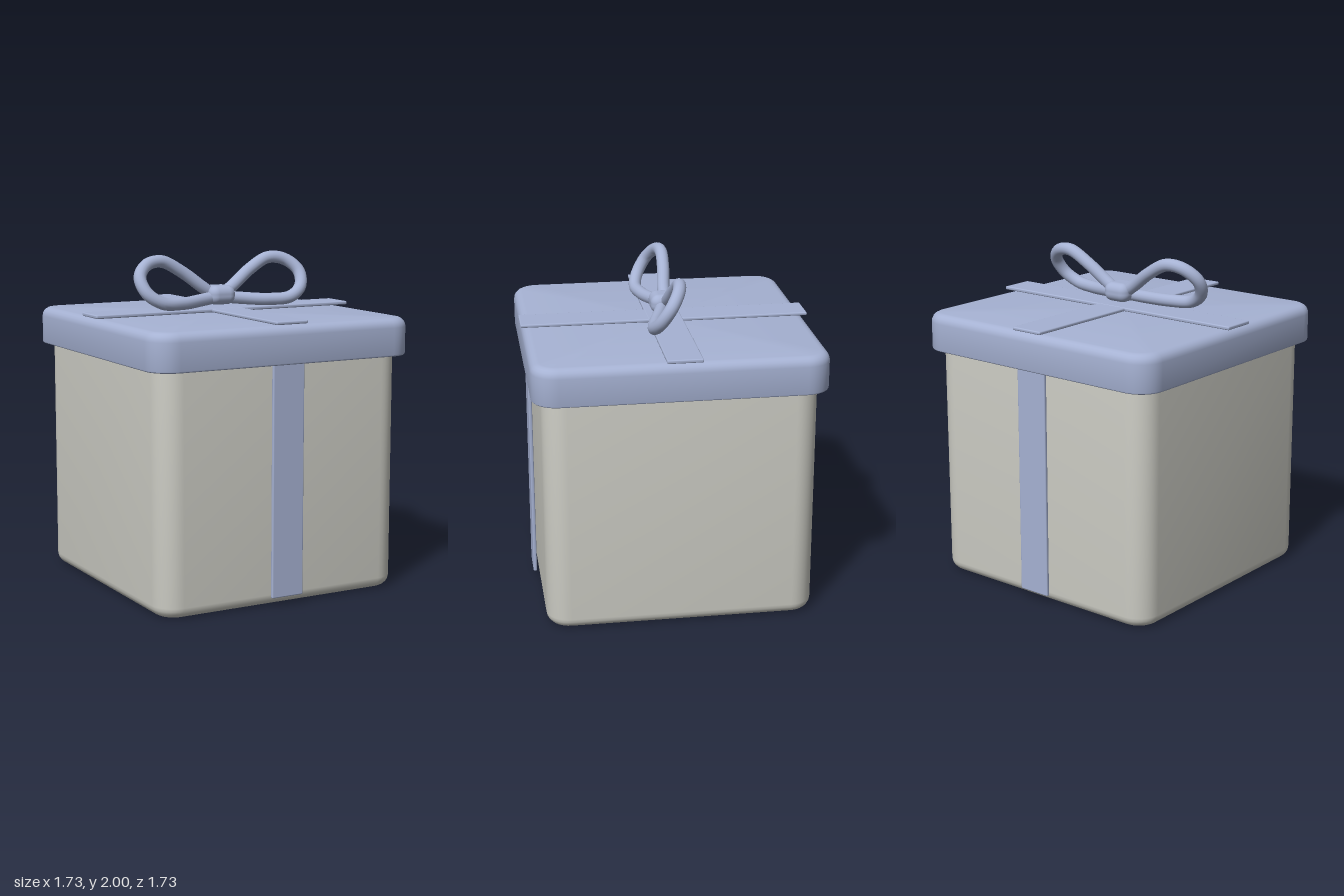
import * as THREE from 'three';
import { toCreasedNormals } from 'three/addons/utils/BufferGeometryUtils.js';
import { RoundedBoxGeometry } from 'three/addons/geometries/RoundedBoxGeometry.js';

// Square solid with rounded corners; profile is [inset, y] from bottom centre outwards and up to top centre.
function squareLathe(half, radius, profile, cornerSteps = 8) {
  const pos = [], index = [], n = 4 * (cornerSteps + 1);
  for (const [inset, y] of profile) {
    const h = half - inset, r = Math.max(0, Math.min(radius - inset, h));
    for (let c = 0; c < 4; c++) {
      const mid = Math.PI / 4 + c * Math.PI / 2;
      const cx = Math.sign(Math.cos(mid)) * (h - r), cz = Math.sign(Math.sin(mid)) * (h - r);
      for (let s = 0; s <= cornerSteps; s++) {
        const a = c * Math.PI / 2 + s / cornerSteps * Math.PI / 2;
        pos.push(cx + r * Math.cos(a), y, -cz - r * Math.sin(a));
      }
    }
  }
  for (let i = 0; i < profile.length - 1; i++) {
    for (let j = 0; j < n; j++) {
      const a = i * n + j, b = i * n + (j + 1) % n;
      index.push(a, b, b + n, a, b + n, a + n);
    }
  }
  const g = new THREE.BufferGeometry();
  g.setAttribute('position', new THREE.Float32BufferAttribute(pos, 3));
  g.setIndex(index);
  return toCreasedNormals(g, 0.5);
}

// Quarter-round profile points between a wall and a flat face.
function roundEdge(y, r, top, steps = 5) {
  const pts = [];
  for (let i = 0; i <= steps; i++) {
    const a = (top ? i : steps - i) / steps * Math.PI / 2;
    pts.push([r * (1 - Math.cos(a)), y + (top ? -1 : 1) * r * (1 - Math.sin(a))]);
  }
  return pts;
}

export function createModel() {
  const group = new THREE.Group();
  const paper = new THREE.MeshStandardMaterial({ color: 0xd0d0c8 });
  paper.name = 'warm grey card';
  const blue = new THREE.MeshStandardMaterial({ color: 0xa6b2d3 });
  blue.name = 'soft blue';

  const add = (name, geometry, material, x = 0, y = 0, z = 0) => {
    const mesh = new THREE.Mesh(geometry, material);
    mesh.name = name;
    mesh.position.set(x, y, z);
    group.add(mesh);
    return mesh;
  };

  // Box body
  add('boxBody', squareLathe(0.8, 0.14,
    [[0.8, 0], ...roundEdge(0, 0.065, false), [0, 1.58], [0.8, 1.58]]), paper);

  // Hollow lid with a thin rim
  add('lid', squareLathe(0.857, 0.15,
    [[0.857, 1.61], [0.028, 1.61], [0.028, 1.425], [0.022, 1.42],
      ...roundEdge(1.42, 0.012, false, 3), ...roundEdge(1.645, 0.055, true), [0.857, 1.645]]), blue);

  // Ribbons crossing on the lid
  add('ribbonAcross', new RoundedBoxGeometry(1.734, 0.022, 0.208, 2, 0.008), blue, 0, 1.664, 0);
  add('ribbonLengthwise', new RoundedBoxGeometry(0.208, 0.02, 1.734, 2, 0.008), blue, 0, 1.663, 0);

  // Upright ribbons on front and back
  for (const side of [1, -1]) {
    add(side > 0 ? 'frontRibbon' : 'backRibbon',
      new RoundedBoxGeometry(0.208, 1.45, 0.022, 2, 0.008), blue, 0, 0.775, side * 0.824);
  }

  // Bow loops leaning back
  const loop = [
    [0.03, 1.745, -0.015], [0.11, 1.8, -0.018], [0.24, 1.895, -0.036], [0.37, 1.96, -0.04],
    [0.48, 1.945, -0.02], [0.55, 1.875, 0.03], [0.53, 1.785, 0.085], [0.44, 1.725, 0.113],
    [0.3, 1.714, 0.09], [0.14, 1.724, 0.04], [0.03, 1.735, 0.01],
  ];
  for (const side of [1, -1]) {
    const curve = new THREE.CatmullRomCurve3(loop.map(([x, y, z]) => new THREE.Vector3(side * x, y, z)));
    add(side > 0 ? 'leftBowLoop' : 'rightBowLoop', new THREE.TubeGeometry(curve, 72, 0.038, 16), blue);
  }

  // Knot
  add('bowKnot', new RoundedBoxGeometry(0.174, 0.116, 0.17, 5, 0.05), blue, 0, 1.748, -0.004);

  return group;
}
